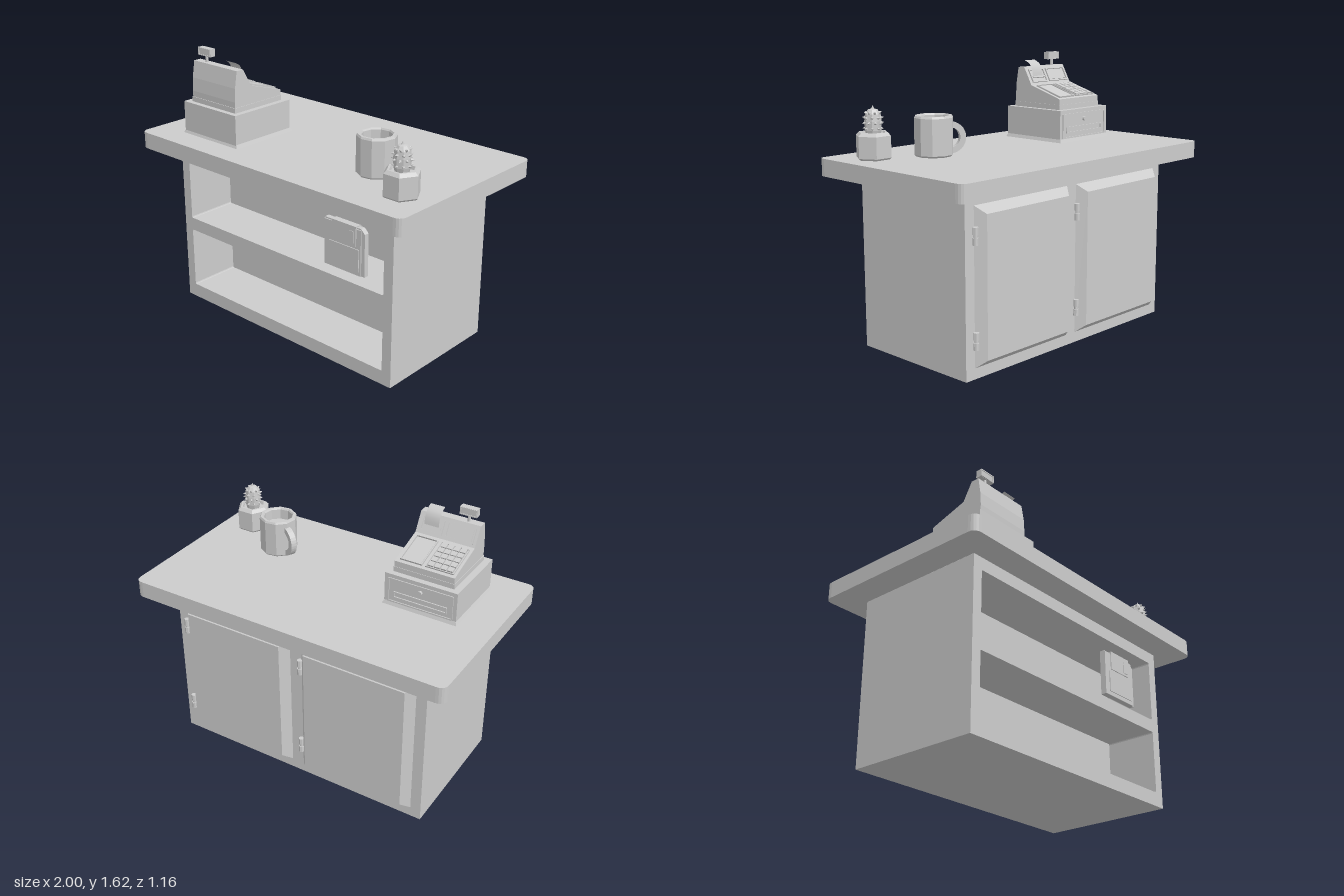
import * as THREE from 'three';

const grey = new THREE.MeshStandardMaterial({ color: 0xcccccc, flatShading: true });
grey.name = 'plain grey';
const paperGrey = new THREE.MeshStandardMaterial({ color: 0xcccccc, side: THREE.DoubleSide });
paperGrey.name = 'paper grey';

function add(parent, name, geo, x = 0, y = 0, z = 0, mat = grey) {
  const m = new THREE.Mesh(geo, mat);
  m.name = name;
  m.position.set(x, y, z);
  parent.add(m);
  return m;
}

// box given by its minimum and maximum on each axis
function box(parent, name, x0, x1, y0, y1, z0, z1) {
  return add(parent, name, new THREE.BoxGeometry(x1 - x0, y1 - y0, z1 - z0),
    (x0 + x1) / 2, (y0 + y1) / 2, (z0 + z1) / 2);
}

function group(parent, name, x = 0, y = 0, z = 0) {
  const g = new THREE.Group();
  g.name = name;
  g.position.set(x, y, z);
  parent.add(g);
  return g;
}

function rect(P, x0, x1, y0, y1, r) {
  const s = new P();
  s.moveTo(x0 + r, y0);
  s.lineTo(x1 - r, y0).quadraticCurveTo(x1, y0, x1, y0 + r);
  s.lineTo(x1, y1 - r).quadraticCurveTo(x1, y1, x1 - r, y1);
  s.lineTo(x0 + r, y1).quadraticCurveTo(x0, y1, x0, y1 - r);
  s.lineTo(x0, y0 + r).quadraticCurveTo(x0, y0, x0 + r, y0);
  return s;
}

const extrude = (shape, depth, curveSegments = 5) =>
  new THREE.ExtrudeGeometry(shape, { depth, bevelEnabled: false, curveSegments });

const lathe = (pts, sides, start) =>
  new THREE.LatheGeometry(pts.map(p => new THREE.Vector2(...p)), sides, start);

// rectangular raised frame lying in the local xz plane
function frame(parent, name, x0, x1, z0, z1, h, t) {
  const s = rect(THREE.Shape, x0, x1, -z1, -z0, 0.001);
  s.holes.push(rect(THREE.Path, x0 + t, x1 - t, -z1 + t, -z0 - t, 0.001));
  return add(parent, name, extrude(s, h, 1).rotateX(-Math.PI / 2));
}

function makeCounter(root) {
  const g = group(root, 'counter');
  const top = rect(THREE.Shape, -1, 1, -0.58, 0.58, 0.05);
  add(g, 'counterTop', extrude(top, 0.1).rotateX(-Math.PI / 2), 0, 1, 0);

  // cabinet: solid rear part and a front part with two open shelves
  box(g, 'cabinetRear', -0.83, 0.83, 0, 1, -0.415, 0.09);
  const front = rect(THREE.Shape, -0.83, 0.83, 0, 1, 0.001);
  for (const y of [0.085, 0.545]) front.holes.push(rect(THREE.Path, -0.768, 0.768, y, y + 0.38, 0.008));
  add(g, 'shelfFront', extrude(front, 0.325, 2), 0, 0, 0.09);

  // bevelled rear doors, each with two hinges on its +x side
  for (const cx of [0.402, -0.402]) {
    const geo = new THREE.BoxGeometry(0.73, 0.88, 0.055);
    const p = geo.attributes.position;
    for (let i = 0; i < p.count; i++) {
      if (p.getZ(i) < 0) p.setXY(i, p.getX(i) - Math.sign(p.getX(i)) * 0.045, p.getY(i) - Math.sign(p.getY(i)) * 0.045);
    }
    geo.computeVertexNormals();
    add(g, 'door', geo, cx, 0.5, -0.4405);
    for (const y of [0.215, 0.78]) {
      const h = group(g, 'hinge', cx + 0.367, y, -0.43);
      for (const s of [-1, 1]) add(h, 'hingeKnuckle', new THREE.CylinderGeometry(0.016, 0.016, 0.04, 8), 0, s * 0.028, 0);
      add(h, 'hingePin', new THREE.CylinderGeometry(0.011, 0.011, 0.08, 8));
    }
  }
}

function makeRegister(root) {
  const g = group(root, 'cashRegister');
  // cash drawer base with flared foot
  box(g, 'drawerBase', -0.787, -0.343, 1.1, 1.295, -0.028, 0.412);
  const foot = add(g, 'foot', new THREE.CylinderGeometry(0.444 / Math.SQRT2, 0.462 / Math.SQRT2, 0.02, 4, 1, false, Math.PI / 4),
    -0.565, 1.11, 0.19);
  foot.scale.z = 0.99;
  const d = group(g, 'drawerFront', -0.565, 1.197, -0.028);
  d.rotation.x = -Math.PI / 2;
  frame(d, 'drawerEdge', -0.2, 0.2, -0.075, 0.075, 0.006, 0.008);
  frame(d, 'drawerPull', -0.165, 0.165, -0.045, -0.005, 0.007, 0.008);
  add(d, 'drawerLock', new THREE.CylinderGeometry(0.014, 0.014, 0.016, 8), 0, 0.006, 0.035);

  // wedge shaped upper body, profile in z and y
  const body = new THREE.Shape([[0.01, 1.295], [0.375, 1.295], [0.377, 1.36], [0.372, 1.44], [0.355, 1.54],
    [0.305, 1.54], [0.245, 1.432], [0.01, 1.36]].map(p => new THREE.Vector2(...p)));
  add(g, 'registerBody', extrude(body, 0.365).rotateY(-Math.PI / 2), -0.38, 0, 0);
  box(g, 'bodySkirt', -0.748, -0.377, 1.295, 1.325, 0.007, 0.38);

  // keyboard slope: 4 by 5 keys and a flat plate
  const k = group(g, 'keyboard', 0, 1.36, 0.01);
  k.rotation.x = -0.297;
  frame(k, 'keypadEdge', -0.728, -0.556, 0.02, 0.222, 0.008, 0.005);
  for (let i = 0; i < 4; i++) {
    for (let j = 0; j < 5; j++) {
      const x = -0.718 + i * 0.039, z = 0.03 + j * 0.038;
      box(k, 'key', x, x + 0.033, -0.002, 0.012, z, z + 0.032);
    }
  }
  frame(k, 'plateEdge', -0.538, -0.402, 0.02, 0.222, 0.01, 0.006);
  box(k, 'plate', -0.528, -0.412, -0.002, 0.005, 0.03, 0.212);

  // screen slope: display and receipt printer
  const s = group(g, 'screenSlope', 0, 1.432, 0.245);
  s.rotation.x = -1.064;
  frame(s, 'screenEdge', -0.728, -0.556, 0.015, 0.105, 0.009, 0.008);
  box(s, 'screen', -0.715, -0.569, -0.002, 0.004, 0.028, 0.092);
  frame(s, 'printerEdge', -0.538, -0.402, 0.015, 0.105, 0.009, 0.008);
  box(s, 'printerBar', -0.525, -0.415, -0.002, 0.01, 0.045, 0.055);

  // curled receipt
  const path = new THREE.CatmullRomCurve3([[1.475, 0.268], [1.525, 0.277], [1.56, 0.298], [1.58, 0.338]]
    .map(([y, z]) => new THREE.Vector3(0, y, z)));
  const paper = new THREE.PlaneGeometry(0.09, 1, 1, 6);
  const p = paper.attributes.position;
  for (let i = 0; i < p.count; i++) {
    const c = path.getPoint(p.getY(i) + 0.5);
    p.setXYZ(i, p.getX(i), c.y, c.z);
  }
  paper.computeVertexNormals();
  add(g, 'receipt', paper, -0.465, 0, 0, paperGrey);

  // customer display on a pole
  add(g, 'displayPole', new THREE.CylinderGeometry(0.009, 0.009, 0.06, 8), -0.662, 1.555, 0.328);
  box(g, 'poleDisplay', -0.714, -0.61, 1.578, 1.624, 0.311, 0.346);
  for (const sz of [-1, 1]) {
    const f = group(g, 'displayFace', -0.662, 1.601, 0.3285 + sz * 0.0175);
    f.rotation.x = sz * Math.PI / 2;
    frame(f, 'displayRim', -0.05, 0.05, -0.022, 0.022, 0.004, 0.006);
  }
}

function makeMug(root) {
  const g = group(root, 'mug', 0.505, 1.1, 0.172);
  add(g, 'mugBody', lathe([[0, 0], [0.102, 0], [0.112, 0.01], [0.112, 0.218], [0.106, 0.229],
    [0.092, 0.229], [0.086, 0.22], [0.084, 0.16], [0, 0.16]], 10, -10 * Math.PI / 180));
  const c = new THREE.Shape();
  c.absarc(0.095, 0, 0.09, -Math.PI / 2, Math.PI / 2, false);
  c.absarc(0.095, 0, 0.056, Math.PI / 2, -Math.PI / 2, true);
  const handle = add(g, 'mugHandle', extrude(c, 0.036, 8).translate(0, 0, -0.018), 0, 0.1, 0);
  handle.rotation.y = (-116 - 90) * Math.PI / 180;
}

function makeCactus(root) {
  const g = group(root, 'pottedCactus', 0.806, 1.1, 0.332);
  add(g, 'pot', lathe([[0, 0], [0.094, 0], [0.103, 0.01], [0.103, 0.132], [0.085, 0.15],
    [0.072, 0.15], [0.067, 0.13], [0, 0.13]], 6, Math.PI / 2));
  add(g, 'cactusStem', lathe([[0.035, 0.12], [0.046, 0.16], [0.048, 0.21], [0.043, 0.25],
    [0.026, 0.274], [0, 0.28]], 8, 0));
  // staggered spikes
  const up = new THREE.Vector3(0, 1, 0);
  const spike = (r, y, a, lift) => {
    const dir = new THREE.Vector3(Math.sin(a), lift, Math.cos(a)).normalize();
    const m = add(g, 'spike', new THREE.ConeGeometry(0.011, 0.022, 5), r * Math.sin(a), y, r * Math.cos(a));
    m.quaternion.setFromUnitVectors(up, dir);
  };
  [[0.049, 0.17, 0], [0.052, 0.2, 0], [0.05, 0.23, 0.2], [0.042, 0.257, 0.6]].forEach(([r, y, lift], row) => {
    for (let i = 0; i < 8; i++) spike(r, y, (i + (row % 2) / 2) * Math.PI / 4, lift);
  });
  add(g, 'topSpike', new THREE.ConeGeometry(0.011, 0.024, 5), 0, 0.286, 0);
}

// square data disk with a clipped corner, shutter and label
function makeDisk(root) {
  const g = group(root, 'dataDisk', 0.33, 0.588, 0.36);
  const outline = new THREE.Shape([[0, 0], [0.285, 0], [0.285, 0.252], [0.258, 0.278], [0, 0.278]]
    .map(p => new THREE.Vector2(...p)));
  add(g, 'diskShell', extrude(outline, 0.03));
  box(g, 'diskFace', 0, 0.262, 0, 0.27, 0.028, 0.036);
  box(g, 'diskShutter', 0.055, 0.23, 0.17, 0.285, -0.004, 0.041);
  box(g, 'shutterSlot', 0.18, 0.215, 0.185, 0.255, 0.038, 0.044);
  box(g, 'diskLabel', 0.038, 0.25, 0.025, 0.155, 0.034, 0.041);
}

export function createModel() {
  const root = new THREE.Group();
  root.name = 'shopCounter';
  makeCounter(root);
  makeRegister(root);
  makeMug(root);
  makeCactus(root);
  makeDisk(root);
  return root;
}
